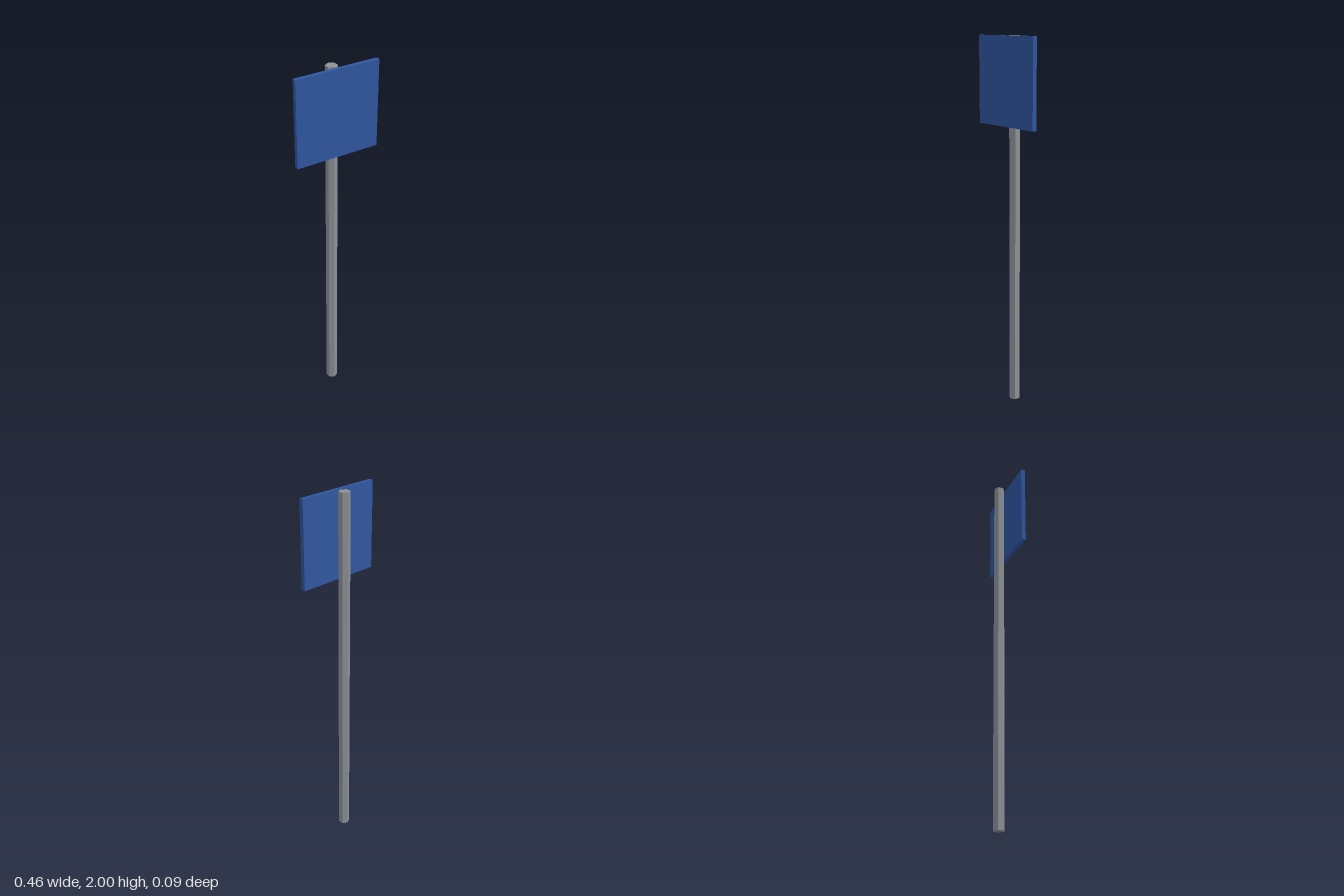
import * as THREE from 'three';

export function createModel() {
  const group = new THREE.Group();
  group.name = 'signpost';

  const steel = new THREE.MeshStandardMaterial({ color: 0x8e9399, flatShading: true });
  steel.name = 'grey steel';
  const blue = new THREE.MeshStandardMaterial({ color: 0x3056a0, flatShading: true });
  blue.name = 'sign blue';

  // Hexagonal post, corners towards front and back
  const post = new THREE.Mesh(new THREE.CylinderGeometry(0.0308, 0.0308, 2, 6), steel);
  post.name = 'post';
  post.position.set(0, 1, -0.0154);

  // Square panel standing just in front of the post
  const panel = new THREE.Mesh(new THREE.BoxGeometry(0.4615, 0.4615, 0.0231), blue);
  panel.name = 'signPanel';
  panel.position.set(0, 2 - 0.4615 / 2, 0.0346);

  group.add(post, panel);
  return group;
}
